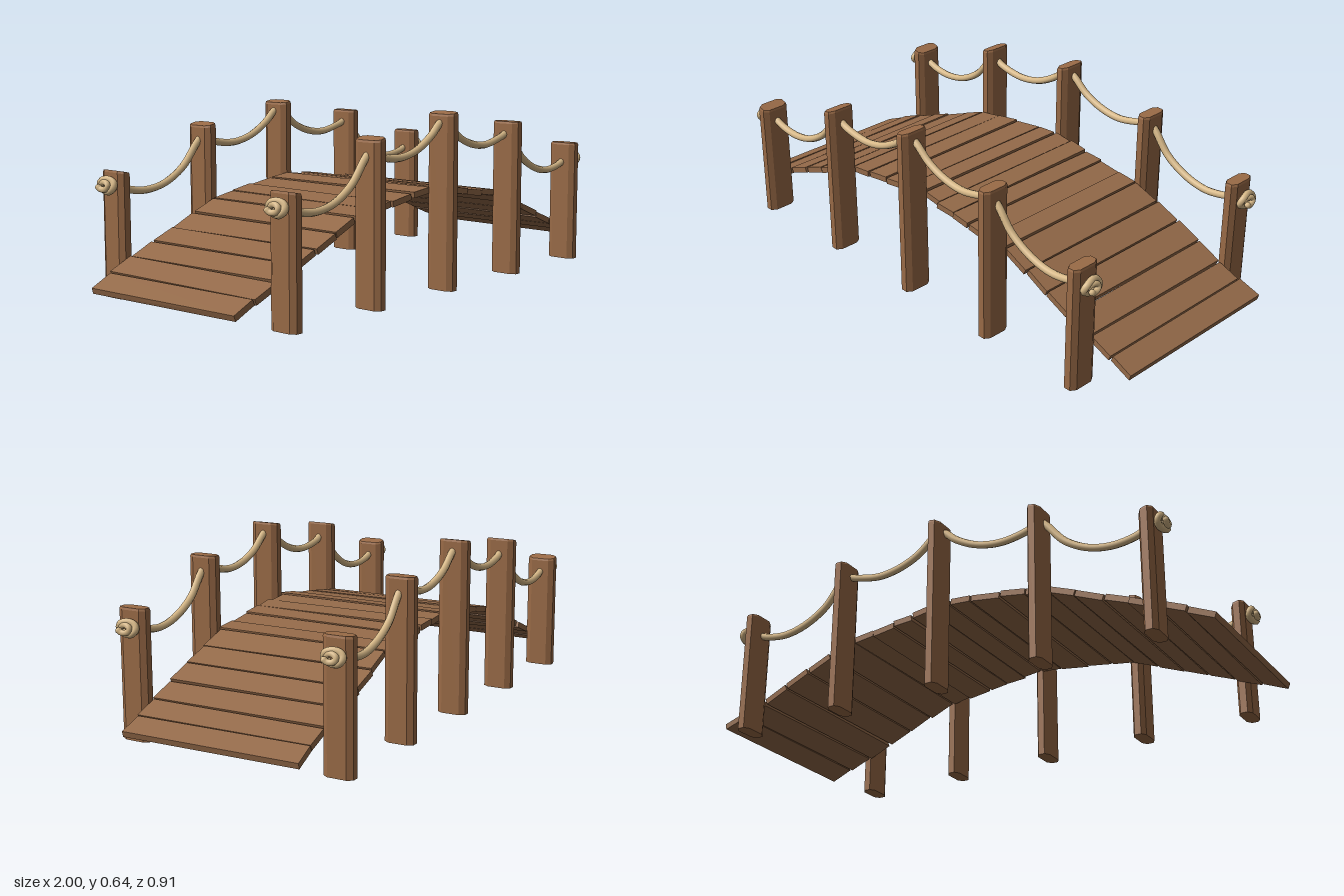
import * as THREE from 'three';

const wood = new THREE.MeshStandardMaterial({ color: 0x9a6b47, flatShading: true });
const plankWood = new THREE.MeshStandardMaterial({ color: 0x946a49, flatShading: true });
const ropeMat = new THREE.MeshStandardMaterial({ color: 0xd8b988 });

// x, height and top slope of each pair of posts
const POSTS = [[-0.82, 0.447, -0.2], [-0.40, 0.582, 0.2], [0.01, 0.64, 0.15], [0.42, 0.58, 0], [0.83, 0.466, 0]];
const POST_Z = 0.4;
// height of the deck along x
const DECK = [[-1, 0.06], [-0.82, 0.135], [-0.4, 0.302], [-0.2, 0.333], [0, 0.356], [0.2, 0.333], [0.42, 0.301], [0.83, 0.138], [1, 0.072]];
// joints between the planks
const JOINTS = [-1, -0.905, -0.805, -0.705, -0.61, -0.505, -0.405, -0.31, -0.21, -0.09, 0,
  0.08, 0.16, 0.24, 0.335, 0.415, 0.52, 0.62, 0.72, 0.82, 0.91, 1];

let seed = 7;
function jitter(a) {
  seed = (seed * 16807) % 2147483647;
  return (seed / 2147483647 * 2 - 1) * a;
}

function deckY(x) {
  let i = 0;
  while (i < DECK.length - 2 && x > DECK[i + 1][0]) i++;
  const [x0, y0] = DECK[i], [x1, y1] = DECK[i + 1];
  return y0 + (y1 - y0) * (x - x0) / (x1 - x0);
}

function addMesh(parent, name, geometry, material) {
  const mesh = new THREE.Mesh(geometry, material);
  mesh.name = name;
  parent.add(mesh);
  return mesh;
}

// Flattened octagonal post with a narrow chamfer and a sloping top
function postGeometry(height, slope) {
  const w = 0.026, d = 0.055, cx = 0.013, cz = 0.02;
  const shape = new THREE.Shape([
    [w, -d + cz], [w, d - cz], [w - cx, d], [cx - w, d], [-w, d - cz], [-w, cz - d], [cx - w, -d], [w - cx, -d],
  ].map(([x, y]) => new THREE.Vector2(x, y)));
  const geo = new THREE.ExtrudeGeometry(shape, { depth: height, steps: 2, bevelEnabled: false });
  geo.rotateX(-Math.PI / 2);
  const p = geo.attributes.position;
  for (let i = 0; i < p.count; i++) {
    const x = p.getX(i), y = p.getY(i), z = p.getZ(i);
    if (y > height * 0.75) p.setXYZ(i, x * 0.9, y + x * slope, z * 0.95);
    else if (y > height * 0.25) p.setY(i, height - 0.008 + x * slope);
  }
  geo.computeVertexNormals();
  return geo;
}

// Uneven board laid between two joints, following the arch
function plankGeometry(x0, x1) {
  const gap = 0.003, half = 0.011;
  const geo = new THREE.BoxGeometry(1, 1, 1);
  const ends = [0, 1].map(() => ({
    z: 0.341 + jitter(0.007), skew: jitter(0.004), lift: jitter(0.003), edge: [jitter(0.002), jitter(0.002)],
  }));
  const ya = deckY(x0), yb = deckY(x1);
  const len = Math.hypot(x1 - x0, yb - ya);
  const nx = -(yb - ya) / len, ny = (x1 - x0) / len;
  const p = geo.attributes.position;
  for (let i = 0; i < p.count; i++) {
    const sx = Math.sign(p.getX(i)), sy = Math.sign(p.getY(i)), sz = Math.sign(p.getZ(i));
    const e = ends[sz > 0 ? 1 : 0];
    const x = sx < 0 ? x0 + gap + e.edge[0] : x1 - gap + e.edge[1];
    const y = ya + (yb - ya) * (x - x0) / (x1 - x0) + e.lift;
    p.setXYZ(i,
      THREE.MathUtils.clamp(x + nx * half * sy, -1, 1),
      y + ny * half * sy,
      sz * (e.z + sx * e.skew));
  }
  geo.computeVertexNormals();
  return geo;
}

// Hanging rope points: anchors at the posts with a sag in each span
function ropeCurve() {
  const pts = [
    [-0.87, 0.40], [-0.82, 0.396], [-0.76, 0.375], [-0.68, 0.366], [-0.59, 0.383], [-0.50, 0.435], [-0.43, 0.515],
    [-0.40, 0.537], [-0.36, 0.517], [-0.25, 0.50], [-0.15, 0.518], [-0.06, 0.565], [-0.015, 0.603],
    [0.01, 0.61], [0.04, 0.595], [0.10, 0.547], [0.18, 0.514], [0.27, 0.503], [0.37, 0.523],
    [0.42, 0.537], [0.45, 0.513], [0.51, 0.44], [0.60, 0.388], [0.69, 0.368], [0.77, 0.377], [0.83, 0.396], [0.87, 0.40],
  ];
  return new THREE.CatmullRomCurve3(pts.map(([x, y]) => new THREE.Vector3(x, y, 0)));
}

// Overhand knot that stops the rope end, facing outward along +x
function makeKnot() {
  const knot = new THREE.Group();
  knot.name = 'ropeKnot';
  const loop = [], turn = [];
  for (let i = 0; i < 16; i++) {
    const a = i / 16 * Math.PI * 2;
    loop.push(new THREE.Vector3(0.004 * Math.sin(2 * a), 0.022 * Math.sin(a), 0.034 * Math.cos(a)));
  }
  for (let i = 0; i <= 10; i++) {
    const a = 0.5 + i / 10 * Math.PI * 1.7;
    turn.push(new THREE.Vector3(0.006 + 0.016 * i / 10, 0.013 * Math.sin(a), 0.003 + 0.02 * Math.cos(a)));
  }
  addMesh(knot, 'knotLoop', new THREE.TubeGeometry(new THREE.CatmullRomCurve3(loop, true), 40, 0.0125, 8, true), ropeMat);
  addMesh(knot, 'knotTurn', new THREE.TubeGeometry(new THREE.CatmullRomCurve3(turn), 28, 0.011, 8), ropeMat);
  // rounded tips of the turn
  for (const tip of [turn[0], turn[10]]) {
    addMesh(knot, 'ropeTip', new THREE.SphereGeometry(0.0112, 8, 6), ropeMat).position.copy(tip);
  }
  return knot;
}

export function createModel() {
  const model = new THREE.Group();
  model.name = 'ropeFootbridge';

  const deck = new THREE.Group();
  deck.name = 'deck';
  model.add(deck);
  for (let i = 0; i < JOINTS.length - 1; i++) {
    addMesh(deck, 'plank', plankGeometry(JOINTS[i], JOINTS[i + 1]), plankWood);
  }

  // Posts, rope and knots on both sides
  for (const side of [1, -1]) {
    const railing = new THREE.Group();
    railing.name = side > 0 ? 'frontRailing' : 'backRailing';
    railing.position.z = side * POST_Z;
    model.add(railing);
    for (const [x, height, slope] of POSTS) {
      addMesh(railing, 'post', postGeometry(height, slope), wood).position.x = x;
    }
    addMesh(railing, 'rope', new THREE.TubeGeometry(ropeCurve(), 120, 0.0135, 8), ropeMat);
    for (const end of [1, -1]) {
      const knot = makeKnot();
      knot.position.set(end > 0 ? 0.872 : -0.862, 0.4, 0);
      if (end < 0) knot.rotation.y = Math.PI;
      railing.add(knot);
    }
  }
  return model;
}
